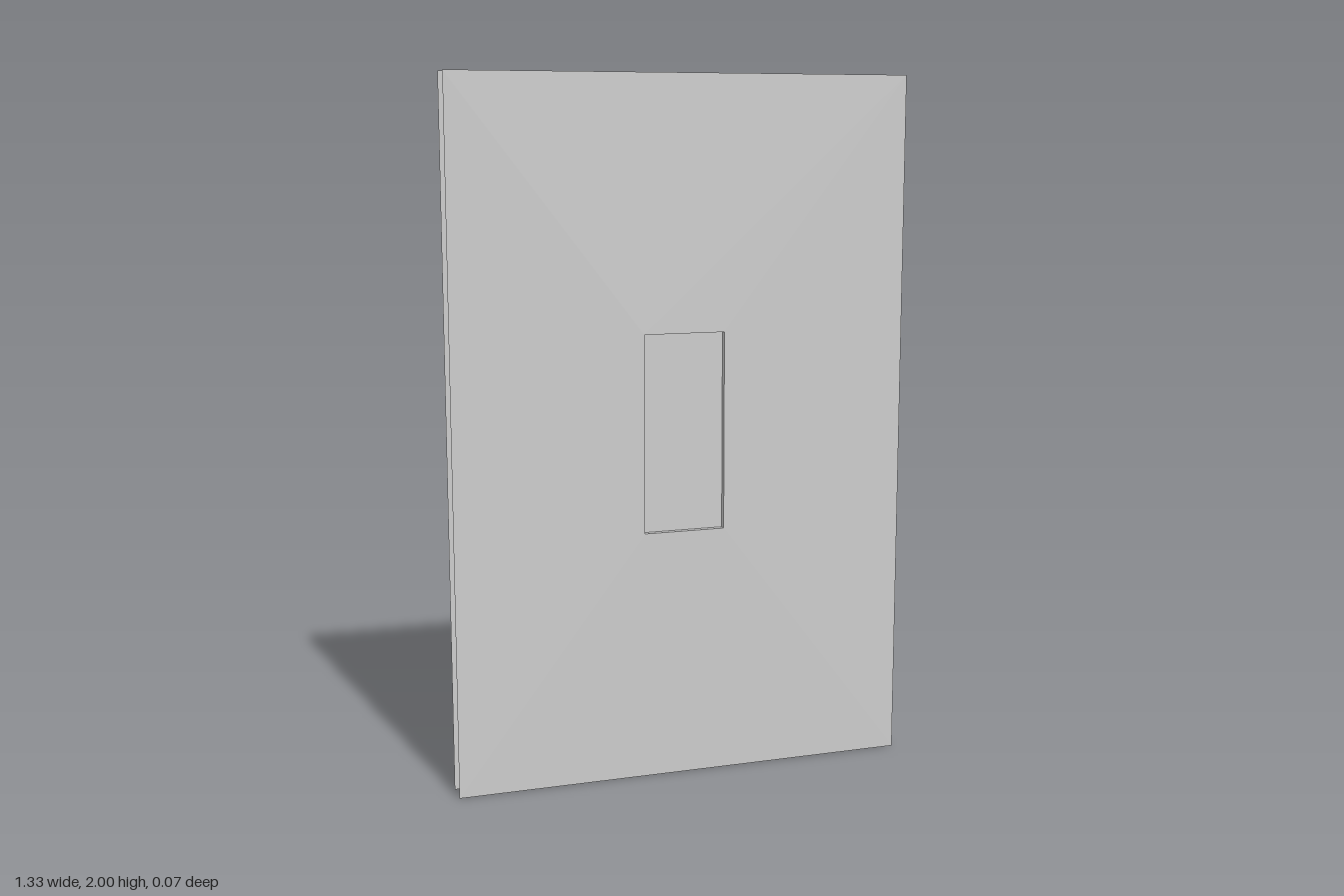
import * as THREE from 'three';

const W = 1.33, H = 2;            // panel size
const HOLE_W = 0.236, HOLE_H = 0.566; // recess opening
const FACE_Z = 0.035, FLOOR_Z = 0.018;
const MID_Y = 1.003;

const material = new THREE.MeshStandardMaterial({ color: 0xcccccc, side: THREE.DoubleSide });

function add(parent, name, geometry, x = 0, y = 0, z = 0) {
  const mesh = new THREE.Mesh(geometry, material);
  mesh.name = name;
  mesh.position.set(x, y, z);
  parent.add(mesh);
  return mesh;
}

function rectangle(PathType, x0, y0, w, h) {
  const p = new PathType();
  p.moveTo(x0, y0);
  p.lineTo(x0 + w, y0);
  p.lineTo(x0 + w, y0 + h);
  p.lineTo(x0, y0 + h);
  p.closePath();
  return p;
}

// One face: thin sheet with a rectangular opening and a shallow recess behind it
function makeSide(name) {
  const side = new THREE.Group();
  side.name = name;

  const sheet = rectangle(THREE.Shape, -W / 2, 0, W, H);
  sheet.holes.push(rectangle(THREE.Path, -HOLE_W / 2, MID_Y - HOLE_H / 2, HOLE_W, HOLE_H));
  add(side, 'panelSheet', new THREE.ShapeGeometry(sheet), 0, 0, FACE_Z);

  // Recess floor and its four inward-facing walls
  add(side, 'recessFloor', new THREE.PlaneGeometry(HOLE_W, HOLE_H), 0, MID_Y, FLOOR_Z);
  const depth = FACE_Z - FLOOR_Z, z = (FACE_Z + FLOOR_Z) / 2;
  for (const s of [-1, 1]) {
    const upright = add(side, 'recessSideWall', new THREE.PlaneGeometry(depth, HOLE_H), s * HOLE_W / 2, MID_Y, z);
    upright.rotation.y = -s * Math.PI / 2;
    const level = add(side, 'recessEndWall', new THREE.PlaneGeometry(HOLE_W, depth), 0, MID_Y + s * HOLE_H / 2, z);
    level.rotation.x = s * Math.PI / 2;
  }
  return side;
}

export function createModel() {
  const model = new THREE.Group();
  model.name = 'recessedPanel';

  const front = makeSide('frontSide');
  const back = makeSide('backSide');
  back.rotation.y = Math.PI;
  model.add(front, back);

  // Core joining the two recesses
  add(model, 'core', new THREE.BoxGeometry(0.17, 0.494, FLOOR_Z * 2), 0, MID_Y, 0);
  return model;
}
